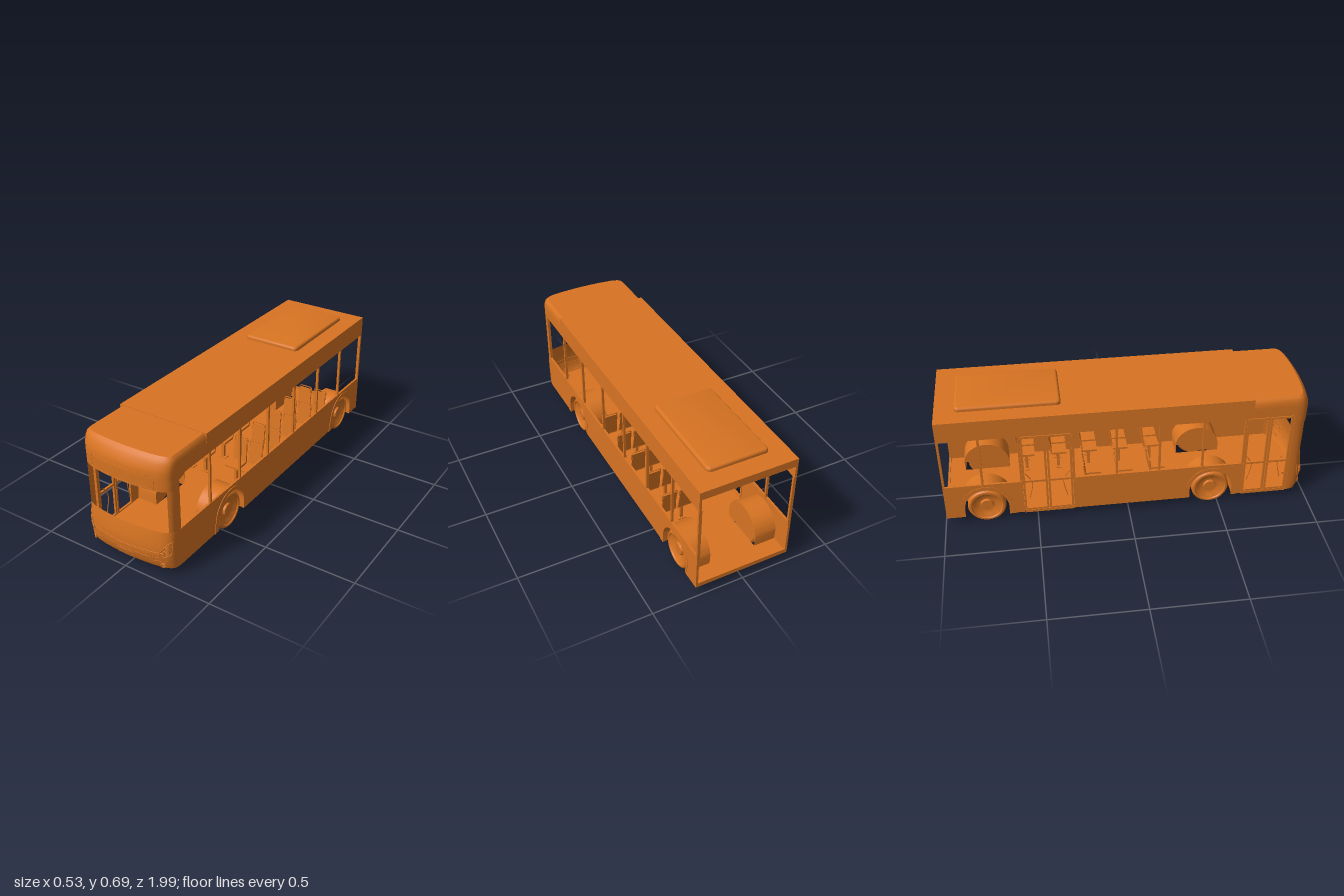
import * as THREE from 'three';
import { toCreasedNormals } from 'three/addons/utils/BufferGeometryUtils.js';

const paint = new THREE.MeshStandardMaterial({ color: 0xd87422, side: THREE.DoubleSide });
paint.name = 'orange';

const HALF = 0.262, REAR = -0.99, AXLES = [0.455, -0.77], WHEEL_Y = 0.103;
// Half plan of the nose, from the side to the centre line: [x, z]
const NOSE = [[0.262, 0.89], [0.2605, 0.91], [0.256, 0.932], [0.25, 0.944], [0.24, 0.955], [0.225, 0.966],
  [0.2, 0.977], [0.15, 0.988], [0.1, 0.995], [0.05, 0.999], [0, 1]];
// Nose profile: [y, furthest z, width factor]
const LOWER = [[0.05, 0.975, 1], [0.075, 0.992, 1], [0.14, 1, 1], [0.2, 0.997, 1], [0.265, 0.985, 1]];
const UPPER = [[0.555, 0.99, 1], [0.59, 0.99, 1], [0.61, 0.985, 1], [0.635, 0.973, 0.997], [0.655, 0.96, 0.975], [0.667, 0.945, 0.93], [0.667, 0.945, 0]];

const noseZ = (z, far) => 0.89 + (z - 0.89) * (far - 0.89) / 0.11;

function lerpTable(table, v) {
  for (let i = 0; i < table.length - 1; i++) {
    const [a, p] = table[i], [b, q] = table[i + 1];
    if ((v - a) * (v - b) <= 0 && a !== b) return p + (q - p) * (v - a) / (b - a);
  }
  return table[table.length - 1][1];
}
const frontZ = (x, y) => noseZ(lerpTable(NOSE, Math.abs(x)), lerpTable([...LOWER, [0.495, 0.988], ...UPPER], y));

function add(parent, name, geometry, x = 0, y = 0, z = 0) {
  const mesh = new THREE.Mesh(geometry, paint);
  mesh.name = name;
  mesh.position.set(x, y, z);
  parent.add(mesh);
  return mesh;
}
// Box given by its limits
function slab(parent, name, x0, x1, y0, y1, z0, z1) {
  return add(parent, name, new THREE.BoxGeometry(Math.abs(x1 - x0), y1 - y0, Math.abs(z1 - z0)),
    (x0 + x1) / 2, (y0 + y1) / 2, (z0 + z1) / 2);
}
function tube(parent, name, points, r, closed = false, tension = 0) {
  const curve = new THREE.CatmullRomCurve3(points, closed, 'catmullrom', tension);
  return add(parent, name, new THREE.TubeGeometry(curve, points.length * 4, r, 6, closed));
}
// Surface through nose sections
function loft(parent, name, plan, rows) {
  const pos = [], index = [], n = plan.length;
  rows.forEach(([y, far, w], r) => plan.forEach(([x, z], i) => {
    pos.push(x * w, y, z > 0.89 ? noseZ(z, far) : z);
    if (r && i) {
      const a = (r - 1) * n + i - 1, b = a + n;
      index.push(a, a + 1, b, a + 1, b + 1, b);
    }
  }));
  const g = new THREE.BufferGeometry();
  g.setAttribute('position', new THREE.Float32BufferAttribute(pos, 3));
  g.setIndex(index);
  return add(parent, name, toCreasedNormals(g, 0.5));
}
function fullPlan(startZ) {
  const half = startZ < 0.89 ? [[HALF, startZ], ...NOSE] : NOSE;
  return [...half, ...half.slice(0, -1).reverse().map(([x, z]) => [-x, z])];
}
// Extrudes a (z, y) outline across the bus, from x1 towards -x
function sidePlate(parent, name, shape, x1, depth) {
  const g = new THREE.ExtrudeGeometry(shape, { depth, bevelEnabled: false, curveSegments: 20 });
  const mesh = add(parent, name, toCreasedNormals(g, 0.5), x1);
  mesh.rotation.y = -Math.PI / 2;
  return mesh;
}
// Thin raised line following the front surface
function seam(parent, name, corners, closed = true, r = 0.0015) {
  const pts = [], n = corners.length;
  for (let i = 0; i < (closed ? n : n - 1); i++) {
    const [a, b] = corners[i], [c, d] = corners[(i + 1) % n];
    for (let k = 0; k < 6; k++) pts.push([a + (c - a) * k / 6, b + (d - b) * k / 6]);
  }
  if (!closed) pts.push(corners[n - 1]);
  tube(parent, name, pts.map(([x, y]) => new THREE.Vector3(x, y, frontZ(x, y))), r, closed);
}
const rect = (x0, x1, y0, y1) => [[x0, y0], [x1, y0], [x1, y1], [x0, y1]];

function wallShape(z0, z1) {
  const s = new THREE.Shape().moveTo(z0, 0.05);
  [...AXLES].sort((a, b) => a - b).filter(c => c > z0 && c < z1).forEach(c => {
    s.lineTo(c - 0.12, 0.05);
    s.absarc(c, 0.105, 0.12, Math.PI, 0, true);
    s.lineTo(c + 0.12, 0.05);
  });
  return s.lineTo(z1, 0.05).lineTo(z1, 0.26).lineTo(z0, 0.26);
}
// Arched band; inner radius 0 gives a full panel
function archShape(c, r, inner, foot = r) {
  const s = new THREE.Shape().moveTo(c - foot, 0.05);
  s.absarc(c, 0.105, r, Math.PI * 0.95, Math.PI * 0.05, true);
  s.lineTo(c + foot, 0.05);
  if (inner) {
    s.lineTo(c + inner, 0.05);
    s.absarc(c, 0.105, inner, 0, Math.PI, false);
    s.lineTo(c - inner, 0.05);
  }
  return s;
}

function makeWheel(parent, name, x, z, side) {
  const profile = [[0.001, 0], [0.06, 0], [0.094, 0], [0.103, 0.01], [0.103, 0.044], [0.095, 0.054], [0.085, 0.055],
    [0.08, 0.048], [0.072, 0.046], [0.05, 0.034], [0.036, 0.034], [0.032, 0.046], [0.001, 0.046]];
  const g = new THREE.LatheGeometry(profile.map(([a, b]) => new THREE.Vector2(a, b)), 32);
  add(parent, name, toCreasedNormals(g, 0.6), x * side, WHEEL_Y, z).rotation.z = -side * Math.PI / 2;
}

function makeSeat(x, z) {
  const seat = new THREE.Group();
  seat.name = 'seat';
  const back = new THREE.Group();
  back.name = 'seatBack';
  const s = new THREE.Shape().moveTo(-0.042, 0).lineTo(0.042, 0).lineTo(0.037, 0.12);
  s.quadraticCurveTo(0.036, 0.13, 0.03, 0.13).lineTo(-0.03, 0.13).quadraticCurveTo(-0.036, 0.13, -0.037, 0.12);
  add(back, 'backPanel', new THREE.ExtrudeGeometry(s, { depth: 0.008, bevelEnabled: false }), 0, 0, -0.004);
  tube(back, 'grabBar', [[-0.04, 0.09], [-0.04, 0.132], [-0.033, 0.14], [0.033, 0.14], [0.04, 0.132], [0.04, 0.09]]
    .map(([a, b]) => new THREE.Vector3(a, b, 0)), 0.003);
  back.position.set(0, 0.188, 0);
  back.rotation.x = -0.13;
  seat.add(back);
  slab(seat, 'cushion', -0.042, 0.042, 0.178, 0.19, 0, 0.085);
  slab(seat, 'pedestal', -0.008, 0.008, 0.065, 0.178, 0.03, 0.046);
  slab(seat, 'pedestalFoot', -0.025, 0.025, 0.065, 0.07, 0.02, 0.056);
  seat.position.set(x, 0, z);
  return seat;
}

// Two open leaves in the right side
function makeDoor(z0, z1) {
  const door = new THREE.Group();
  door.name = 'door';
  const mid = (z0 + z1) / 2;
  [[z0, mid - 0.002], [mid + 0.002, z1]].forEach(([a, b]) => {
    [[a, a + 0.011], [b - 0.011, b]].forEach(([p, q]) => slab(door, 'leafPost', -0.26, -0.248, 0.06, 0.55, p, q));
    [0.06, 0.25, 0.538].forEach(y => slab(door, 'leafRail', -0.26, -0.248, y, y + 0.012, a, b));
  });
  slab(door, 'doorSill', -0.262, -0.22, 0.045, 0.062, z0, z1);
  [[z0 + 0.03, -1], [z1 - 0.03, 1]].forEach(([z, d]) => tube(door, 'doorHandle',
    [[0.12, 0], [0.22, -0.02], [0.27, 0], [0.29, 0.015]].map(([y, o]) => new THREE.Vector3(-0.235, y, z + o * d)), 0.0025, false, 0.5));
  return door;
}

export function createModel() {
  const bus = new THREE.Group();
  bus.name = 'cityBus';

  // Nose shells, leaving the windscreen open
  loft(bus, 'frontPanel', fullPlan(0.89), [[0.05, 0.975, 0], ...LOWER]);
  loft(bus, 'windscreenHeader', fullPlan(0.89), [[0.495, 0.988, 1], [0.555, 0.99, 1]]);
  loft(bus, 'frontRoofCap', fullPlan(0.66), UPPER);
  [1, -1].forEach(s => loft(bus, 'windscreenPillar', NOSE.slice(0, 5).map(([x, z]) => [x * s, z]),
    [[0.265, 0.985, 1], [0.495, 0.988, 1]]));

  // Roof, its side bands and the rear frame
  slab(bus, 'roof', -HALF, HALF, 0.658, 0.67, REAR, 0.66);
  slab(bus, 'rearHeader', -HALF, HALF, 0.625, 0.66, REAR, REAR + 0.012);
  slab(bus, 'rearSill', -HALF, HALF, 0.05, 0.075, REAR, REAR + 0.01);
  [1, -1].forEach(s => {
    slab(bus, 'roofSideBand', s * HALF, s * 0.25, 0.555, 0.66, REAR, 0.66);
    slab(bus, 'frontSideBand', s * 0.261, s * 0.25, 0.555, 0.635, 0.66, 0.89);
    slab(bus, 'rearPillar', s * HALF, s * 0.246, 0.25, 0.56, REAR, REAR + 0.012);
    slab(bus, 'doorPillar', s * 0.261, s * 0.246, s > 0 ? 0.25 : 0.05, 0.56, 0.88, 0.892);
    add(bus, 'ceilingDuct', new THREE.CylinderGeometry(0.024, 0.024, 1.7, 12), s * 0.222, 0.628, -0.12).rotation.x = Math.PI / 2;
  });

  // Roof unit
  const w = 0.153, l = 0.26, c = 0.012;
  const pod = new THREE.Shape().moveTo(-w + c, -l).lineTo(w - c, -l).quadraticCurveTo(w, -l, w, -l + c).lineTo(w, l - c)
    .quadraticCurveTo(w, l, w - c, l).lineTo(-w + c, l).quadraticCurveTo(-w, l, -w, l - c).lineTo(-w, -l + c).quadraticCurveTo(-w, -l, -w + c, -l);
  add(bus, 'roofUnit', toCreasedNormals(new THREE.ExtrudeGeometry(pod, { depth: 0.002, bevelThickness: 0.02, bevelSize: 0.014, bevelSegments: 4 }), 0.6),
    0, 0.67, -0.615).rotation.x = -Math.PI / 2;

  // Lower side walls and window pillars
  sidePlate(bus, 'leftWall', wallShape(REAR, 0.89), HALF, 0.012);
  [[REAR, -0.57], [-0.3, 0.63]].forEach(([a, b]) => sidePlate(bus, 'rightWall', wallShape(a, b), -0.25, 0.012));
  [0.63, 0.365, 0.09, -0.18, -0.45, -0.72].forEach(z => slab(bus, 'leftPillar', 0.26, 0.247, 0.25, 0.56, z - 0.006, z + 0.006));
  [0.625, 0.4, 0.165, -0.065, -0.295, -0.575, -0.78].forEach(z => slab(bus, 'rightPillar', -0.26, -0.247, 0.25, 0.56, z - 0.006, z + 0.006));
  bus.add(makeDoor(0.632, 0.88), makeDoor(-0.568, -0.302));

  // Floor with wheel cut-outs
  slab(bus, 'floor', -0.13, 0.13, 0.05, 0.065, REAR, 0.95);
  [[REAR, -0.892], [-0.648, 0.333], [0.577, 0.9]].forEach(([a, b]) =>
    [1, -1].forEach(s => slab(bus, 'sideFloor', s * 0.13, s * 0.25, 0.05, 0.065, a, b)));

  // Wheels, housings and arch trims
  AXLES.forEach((z, rear) => [1, -1].forEach(s => {
    makeWheel(bus, 'outerWheel', 0.197, z, s);
    if (rear) makeWheel(bus, 'innerWheel', 0.142, z, s);
    else add(bus, 'axleHub', new THREE.CylinderGeometry(0.03, 0.03, 0.07, 16), s * 0.165, WHEEL_Y, z).rotation.z = Math.PI / 2;
    sidePlate(bus, 'wheelHousing', archShape(z, 0.128, 0.122), s > 0 ? 0.25 : -0.13, 0.12);
    sidePlate(bus, 'housingWall', archShape(z, 0.128, 0), s > 0 ? 0.136 : -0.13, 0.006);
    sidePlate(bus, 'archTrim', archShape(z, 0.14, 0.118, 0.152), s > 0 ? 0.265 : -0.261, 0.004);
  }));

  // Seats
  [0.13, -0.05, -0.225, -0.4, -0.58].forEach((z, i) => [0.103, 0.2].forEach(x => {
    bus.add(makeSeat(x, z));
    if (i < 3) bus.add(makeSeat(-x, z));
  }));

  // Front seams and panels
  seam(bus, 'destinationPanel', rect(-0.185, 0.183, 0.502, 0.573));
  seam(bus, 'numberPlate', rect(-0.055, 0.053, 0.058, 0.099));
  seam(bus, 'frontCamera', rect(-0.006, 0.006, 0.599, 0.608));
  seam(bus, 'bumperCrease', [[-0.2, 0.147], [-0.13, 0.145], [0, 0.141], [0.13, 0.145], [0.2, 0.147]], false, 0.0025);
  seam(bus, 'bumperLine', [[-0.19, 0.117], [-0.12, 0.111], [0.12, 0.111], [0.19, 0.117]], false);
  [1, -1].forEach(s => {
    seam(bus, 'headlightFrame', [[0.253, 0.21], [0.236, 0.2], [0.196, 0.145], [0.2, 0.13], [0.225, 0.125], [0.25, 0.14]].map(([x, y]) => [s * x, y]), true, 0.0025);
    seam(bus, 'bumperCorner', [[0.14, 0.052], [0.165, 0.094], [0.24, 0.1]].map(([x, y]) => [s * x, y]), false);
    for (let i = 0; i < 5; i++) seam(bus, 'grilleSlot', [[s * (0.133 + i * 0.01), 0.113], [s * (0.14 + i * 0.01), 0.13]], false, 0.002);
    [[0.232, 0.177, 0.012], [0.231, 0.154, 0.012], [0.213, 0.142, 0.009], [0.214, 0.075, 0.012]].forEach(([x, y, r]) => {
      const z = frontZ(x, y);
      add(bus, 'lampRing', new THREE.TorusGeometry(r, 0.003, 8, 20), s * x, y, z + 0.002).rotation.y = s * 0.6;
      add(bus, 'lampLens', new THREE.SphereGeometry(r * 0.7, 14, 8), s * x, y, z).scale.z = 0.5;
    });
  });
  return bus;
}
